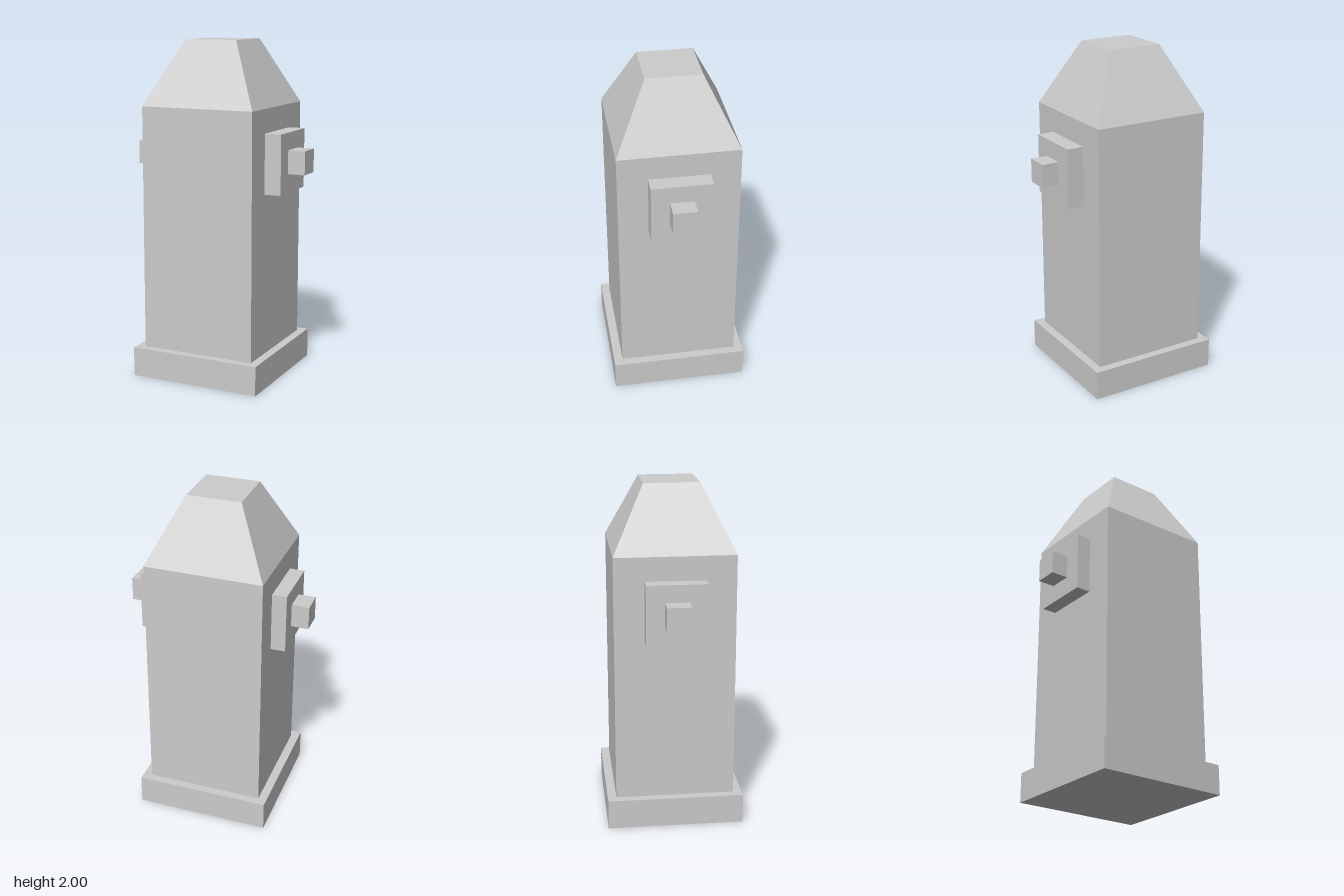
import * as THREE from 'three';

const material = new THREE.MeshStandardMaterial({ color: 0xcccccc, flatShading: true });
const BODY_X = -0.0065; // the column sits slightly off the nozzle centre

function addBox(parent, name, x0, x1, y0, y1, depth) {
  const mesh = new THREE.Mesh(new THREE.BoxGeometry(x1 - x0, y1 - y0, depth), material);
  mesh.name = name;
  mesh.position.set((x0 + x1) / 2, (y0 + y1) / 2, 0);
  parent.add(mesh);
}

export function createModel() {
  const hydrant = new THREE.Group();
  hydrant.name = 'hydrant';

  // Square base plate and column
  addBox(hydrant, 'base', BODY_X - 0.4, BODY_X + 0.4, 0, 0.175, 0.8);
  addBox(hydrant, 'column', BODY_X - 0.349, BODY_X + 0.349, 0.175, 1.62, 0.698);

  // Tapered cap: a four-sided frustum turned square to the column
  const capGeometry = new THREE.CylinderGeometry(0.161 * Math.SQRT2, 0.349 * Math.SQRT2, 0.38, 4);
  capGeometry.rotateY(Math.PI / 4);
  const cap = new THREE.Mesh(capGeometry, material);
  cap.name = 'cap';
  cap.position.set(BODY_X, 1.81, 0);
  hydrant.add(cap);

  // Side nozzles: a flange with a small knob, on both sides
  for (const [side, s] of [['left', 1], ['right', -1]]) {
    const nozzle = new THREE.Group();
    nozzle.name = side + 'Nozzle';
    const wall = BODY_X + s * 0.349;
    const span = (a, b) => [Math.min(a, b), Math.max(a, b)];
    addBox(nozzle, side + 'Flange', ...span(wall, s * 0.442), 1.13, 1.48, 0.35);
    addBox(nozzle, side + 'Knob', ...span(s * 0.442, s * 0.545), 1.24, 1.378, 0.138);
    hydrant.add(nozzle);
  }
  return hydrant;
}
